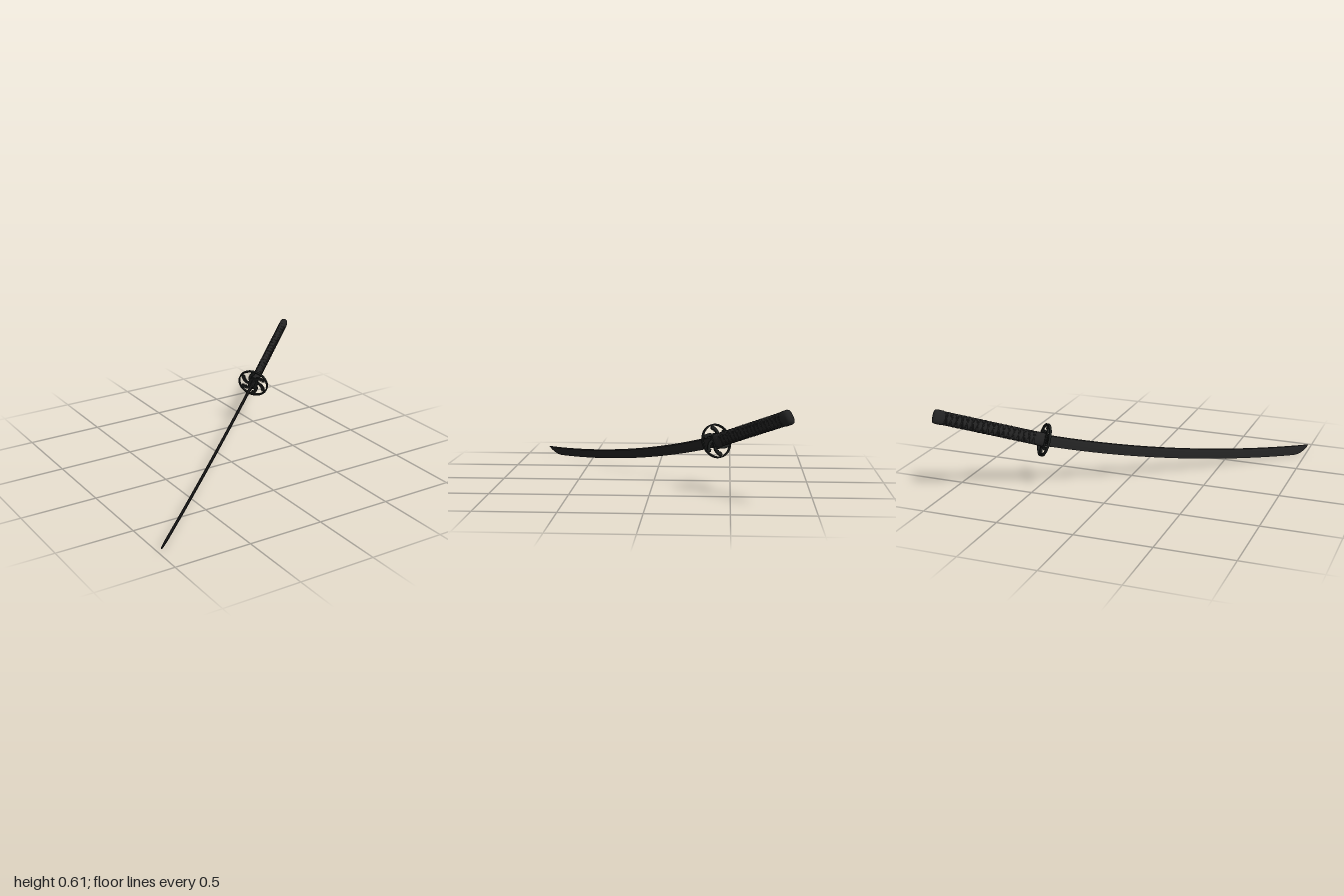
import * as THREE from 'three';
import { toCreasedNormals } from 'three/addons/utils/BufferGeometryUtils.js';

// Skin closed cross-sections (counter-clockwise seen from +x, ordered towards +x)
function loft(rings, crease = 0.5) {
  const n = rings[0].length, pos = rings.flat(2), idx = [];
  for (let i = 0; i < rings.length - 1; i++) {
    for (let j = 0; j < n; j++) {
      const a = i * n + j, b = i * n + (j + 1) % n;
      idx.push(a, b, b + n, a, b + n, a + n);
    }
  }
  const last = (rings.length - 1) * n;
  for (let j = 1; j < n - 1; j++) {
    idx.push(0, j + 1, j, last, last + j, last + j + 1);
  }
  const g = new THREE.BufferGeometry();
  g.setAttribute('position', new THREE.Float32BufferAttribute(pos, 3));
  g.setIndex(idx);
  return toCreasedNormals(g, crease);
}

// Point on a slightly squared oval
function ovalPoint(x, ry, rz, a) {
  const c = Math.cos(a), s = Math.sin(a), p = 0.85;
  return [x, ry * Math.sign(c) * Math.abs(c) ** p, rz * Math.sign(s) * Math.abs(s) ** p];
}
const oval = (x, ry, rz, n = 28) =>
  Array.from({ length: n }, (_, j) => ovalPoint(x, ry, rz, (j / n) * Math.PI * 2));

const BLADE = 1.905, TIP = 0.11;
const bend = s => 0.052 * s + 0.063 * s * s;

// Ridged blade section at distance s from the guard
function bladeSection(s) {
  const w = 0.073 - 0.003 * s;
  const k = Math.max(0, (s - (BLADE - TIP)) / TIP);
  const t = (0.0105 - 0.001 * s) * (1 - 0.75 * k * k);
  const rise = 0.5 * k ** 2.4 + 0.5 * (1 - Math.sqrt(Math.max(0, 1 - k * k)));
  const edge = -0.5 + 0.97 * rise;
  const ridge = THREE.MathUtils.lerp(0.15, 0.485, rise);
  const back = THREE.MathUtils.lerp(0.42, 0.495, k);
  const c = bend(s) - 0.001 - 0.001 * s;
  return [[0.5, 0], [back, 0.7 * t], [ridge, t], [edge, 0], [ridge, -t], [back, -0.7 * t]]
    .map(([y, z]) => [-s, c + y * w, z]);
}

// Cord wound round the grip
class Winding extends THREE.Curve {
  constructor(dir, phase) {
    super();
    this.dir = dir;
    this.phase = phase;
  }
  getPoint(t, target = new THREE.Vector3()) {
    const a = this.dir * t * Math.PI * 2 * 9 + this.phase;
    return target.set(...ovalPoint(0.06 + t * 0.61, 0.0395, 0.024, a));
  }
}

export function createModel() {
  const root = new THREE.Group();
  root.name = 'sword';
  const black = new THREE.MeshStandardMaterial({ color: 0x222222 });
  black.name = 'charcoal black';
  const iron = new THREE.MeshStandardMaterial({ color: 0x1a1c1b });
  iron.name = 'dark iron';
  const add = (name, geo, mat = black, parent = root) => {
    const m = new THREE.Mesh(geo, mat);
    m.name = name;
    parent.add(m);
    return m;
  };

  // Curved blade, with closer sections at the point
  const stations = [];
  for (let i = 0; i <= 16; i++) stations.push(BLADE - TIP * (i / 16) ** 1.5);
  for (let i = 1; i <= 40; i++) stations.push((BLADE - TIP) * (1 - i / 40));
  add('blade', loft(stations.map(bladeSection)));

  // Collar at the blade's base
  add('bladeCollar', loft([oval(-0.05, 0.036, 0.011, 20), oval(0, 0.038, 0.014, 20)]));

  // Openwork guard
  const guard = new THREE.Group();
  guard.name = 'guard';
  root.add(guard);
  const plate = (shape, depth) => new THREE.ExtrudeGeometry(shape, { depth, bevelEnabled: false, curveSegments: 40 })
    .translate(0, 0, -depth / 2).rotateY(Math.PI / 2);
  const rim = new THREE.Shape().absarc(0, 0, 0.107, 0, Math.PI * 2);
  rim.holes.push(new THREE.Path().absarc(0, 0, 0.098, 0, Math.PI * 2, true));
  add('guardRim', plate(rim, 0.016), iron, guard);
  const hub = new THREE.Shape().absellipse(0, 0, 0.034, 0.052, 0, Math.PI * 2);
  add('guardHub', plate(hub, 0.014), iron, guard);

  // Curved, toothed arms joining the hub to the rim
  const steps = 12, outer = [], inner = [];
  for (let i = 0; i <= steps; i++) {
    const t = i / steps, a = t * 1.05, r = 0.03 + 0.07 * t;
    outer.push(new THREE.Vector2(Math.cos(a) * r, Math.sin(a) * r));
    const ri = r - (i % 2 ? 0.024 : 0.012);
    inner.push(new THREE.Vector2(Math.cos(a + 0.15) * ri, Math.sin(a + 0.15) * ri));
  }
  const arm = new THREE.Shape([...outer, ...inner.reverse()]);
  for (let i = 0; i < 6; i++) {
    add('guardArm', plate(arm, 0.012), iron, guard).rotation.x = Math.PI * (0.1 + i / 3);
  }

  // Grip with its collar and rounded end cap
  add('grip', loft([oval(0.008, 0.043, 0.0265), oval(0.35, 0.042, 0.026), oval(0.68, 0.043, 0.0265)]));
  add('gripCollar', loft([oval(0.006, 0.042, 0.026), oval(0.012, 0.0445, 0.028),
    oval(0.048, 0.044, 0.0275), oval(0.052, 0.042, 0.026)]));
  add('endCap', loft([[0.668, 0.043, 0.0265], [0.672, 0.0455, 0.028], [0.712, 0.0455, 0.028],
    [0.722, 0.043, 0.025], [0.729, 0.037, 0.018], [0.732, 0.026, 0.01]].map(a => oval(...a)), 0.9));

  // Criss-cross cord, mostly sunk into the grip
  for (const dir of [1, -1]) {
    for (const phase of [0, Math.PI]) {
      add('gripCord', new THREE.TubeGeometry(new Winding(dir, phase), 320, 0.0048, 6));
    }
  }

  // Lay the sword diagonally, grip raised at the back
  const along = new THREE.Vector3(0.752, 0.317, -0.579).normalize();
  const side = along.clone().cross(new THREE.Vector3(-0.03, 0.896, 0.444)).normalize();
  const up = side.clone().cross(along);
  root.quaternion.setFromRotationMatrix(new THREE.Matrix4().makeBasis(along, up, side));
  root.position.set(0.44, 0.335, -0.412);

  const model = new THREE.Group();
  model.name = 'curvedSword';
  model.add(root);
  return model;
}
